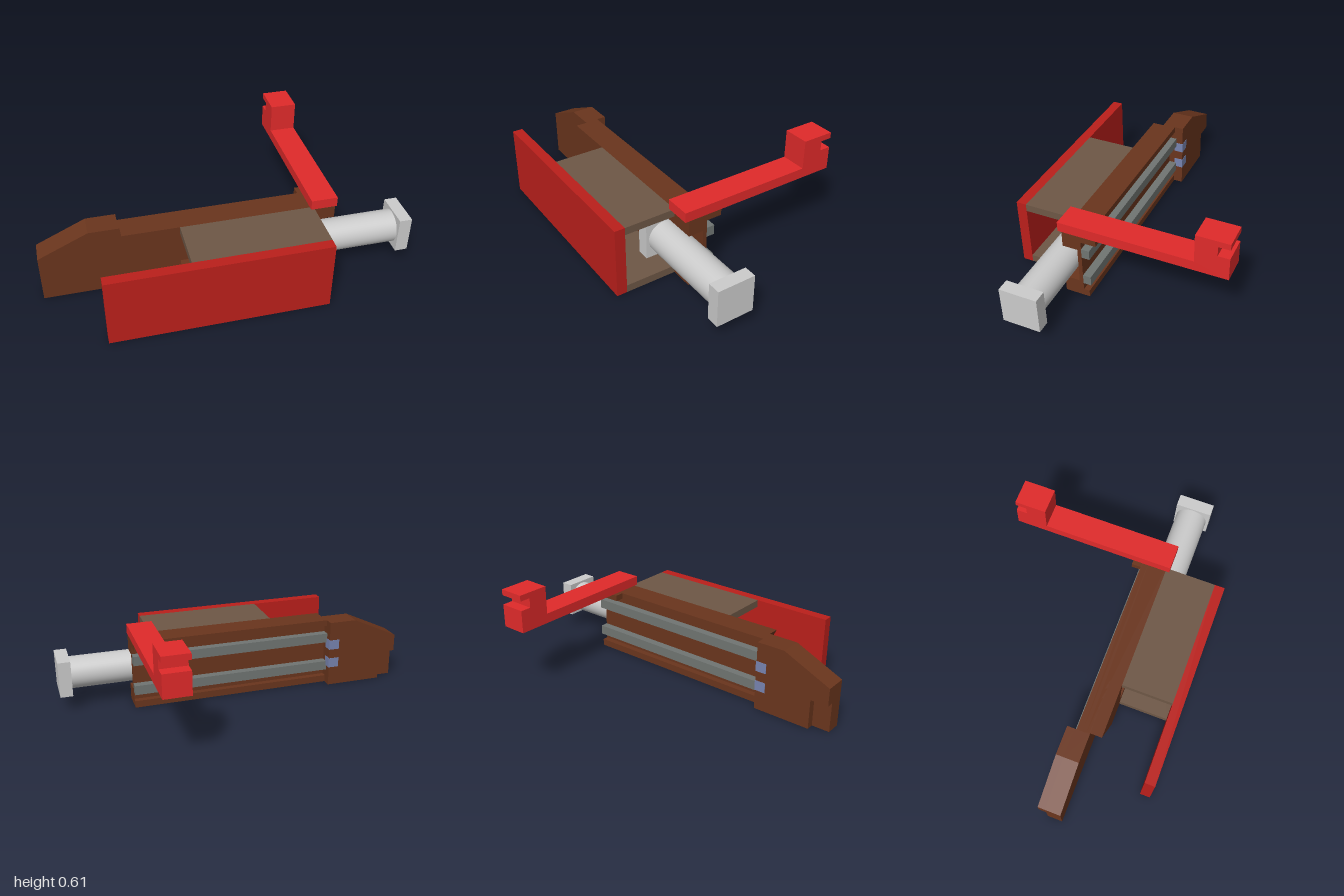
import * as THREE from 'three';

const mat = (color) => new THREE.MeshStandardMaterial({ color, roughness: 0.8 });
const BROWN = mat(0x6a351d), PLATE = mat(0x6e5746), PANEL = mat(0xbb1f1b), ARM = mat(0xe02a2a);
const RAIL = mat(0x707572), BLUE = mat(0x7884b0), STEEL = mat(0xcccccc);

export function createModel() {
  const model = new THREE.Group();

  const add = (parent, name, geometry, material) => {
    const mesh = new THREE.Mesh(geometry, material);
    mesh.name = name;
    parent.add(mesh);
    return mesh;
  };
  // Box given by its limits on each axis
  const box = (parent, name, material, [x0, x1], [y0, y1], [z0, z1]) => {
    const mesh = add(parent, name, new THREE.BoxGeometry(x1 - x0, y1 - y0, z1 - z0), material);
    mesh.position.set((x0 + x1) / 2, (y0 + y1) / 2, (z0 + z1) / 2);
    return mesh;
  };
  // Flat outline pushed out along +z
  const slab = (points, depth) => new THREE.ExtrudeGeometry(
    new THREE.Shape(points.map(([a, b]) => new THREE.Vector2(a, b))),
    { depth, bevelEnabled: false });
  const group = (name) => {
    const g = new THREE.Group();
    g.name = name;
    model.add(g);
    return g;
  };

  const H = 0.395, END = 0.595;

  // Main body: back web, front layer with a slot for the piston, rear lips
  const body = group('body');
  box(body, 'bodyWeb', BROWN, [-0.57, END], [0, H], [0.168, 0.19]);
  box(body, 'bodyWebStep', BROWN, [-0.57, -0.26], [0, H], [0.19, 0.21]);
  add(body, 'bodyFront', slab([
    [-0.565, H], [-0.39, 0], [END, 0], [END, 0.095],
    [-0.26, 0.095], [-0.26, 0.305], [END, 0.305], [END, H],
  ], 0.085), BROWN).position.z = 0.19;
  box(body, 'upperLip', BROWN, [-0.57, END], [0.36, H], [0.135, 0.168]);
  box(body, 'lowerLip', BROWN, [-0.57, END], [0, 0.04], [0.135, 0.168]);
  box(body, 'upperLipTab', BROWN, [0.425, END], [0.36, H], [0.083, 0.135]);

  // Nose block with sloped top and a notch low on its rear corner
  const nose = group('noseBlock');
  add(nose, 'noseFront', slab([
    [-1, 0], [-0.57, 0], [-0.57, H], [-0.73, H], [-1, 0.27],
  ], 0.085), BROWN).position.z = 0.125;
  add(nose, 'noseRear', slab([
    [-0.9, 0], [-0.57, 0], [-0.57, H], [-0.73, H], [-1, 0.27], [-1, 0.17], [-0.9, 0.17],
  ], 0.042), BROWN).position.z = 0.083;

  // Rails in the rear channel and the inserts at their nose end
  for (const y of [0.083, 0.26]) box(model, 'rail', RAIL, [-0.57, END], [y, y + 0.055], [0.123, 0.168]);
  for (const y of [0.113, 0.227]) box(model, 'railInsert', BLUE, [-0.63, -0.567], [y, y + 0.058], [0.081, 0.135]);

  // Plates joining the body to the front panel
  for (const y of [0, H - 0.042]) box(model, 'joiningPlate', PLATE, [-0.26, 0.47], [y, y + 0.042], [0.275, 0.56]);
  box(model, 'frontPanel', PANEL, [-0.705, 0.47], [0, H], [0.56, 0.617]);

  // Piston: rod between two square ends
  const piston = group('piston');
  const rod = add(piston, 'pistonRod', new THREE.CylinderGeometry(0.091, 0.091, 0.57, 48), STEEL);
  rod.rotation.z = Math.PI / 2;
  rod.position.set(0.66, 0.2, 0.293);
  for (const x of [0.33, 0.93]) box(piston, 'pistonEnd', STEEL, [x, x + 0.07], [0.097, 0.303], [0.191, 0.399]);

  // Long arm with a notched hook, outlined from the side as (z, y)
  const arm = add(model, 'hookArm', slab([
    [0.297, H], [0.297, 0.45], [-0.443, 0.45], [-0.443, 0.61], [-0.62, 0.61],
    [-0.62, 0.577], [-0.558, 0.577], [-0.558, 0.523], [-0.62, 0.523], [-0.62, H],
  ].map(([z, y]) => [-z, y]), 0.145), ARM);
  arm.rotation.y = Math.PI / 2;
  arm.position.x = 0.45;

  return model;
}
